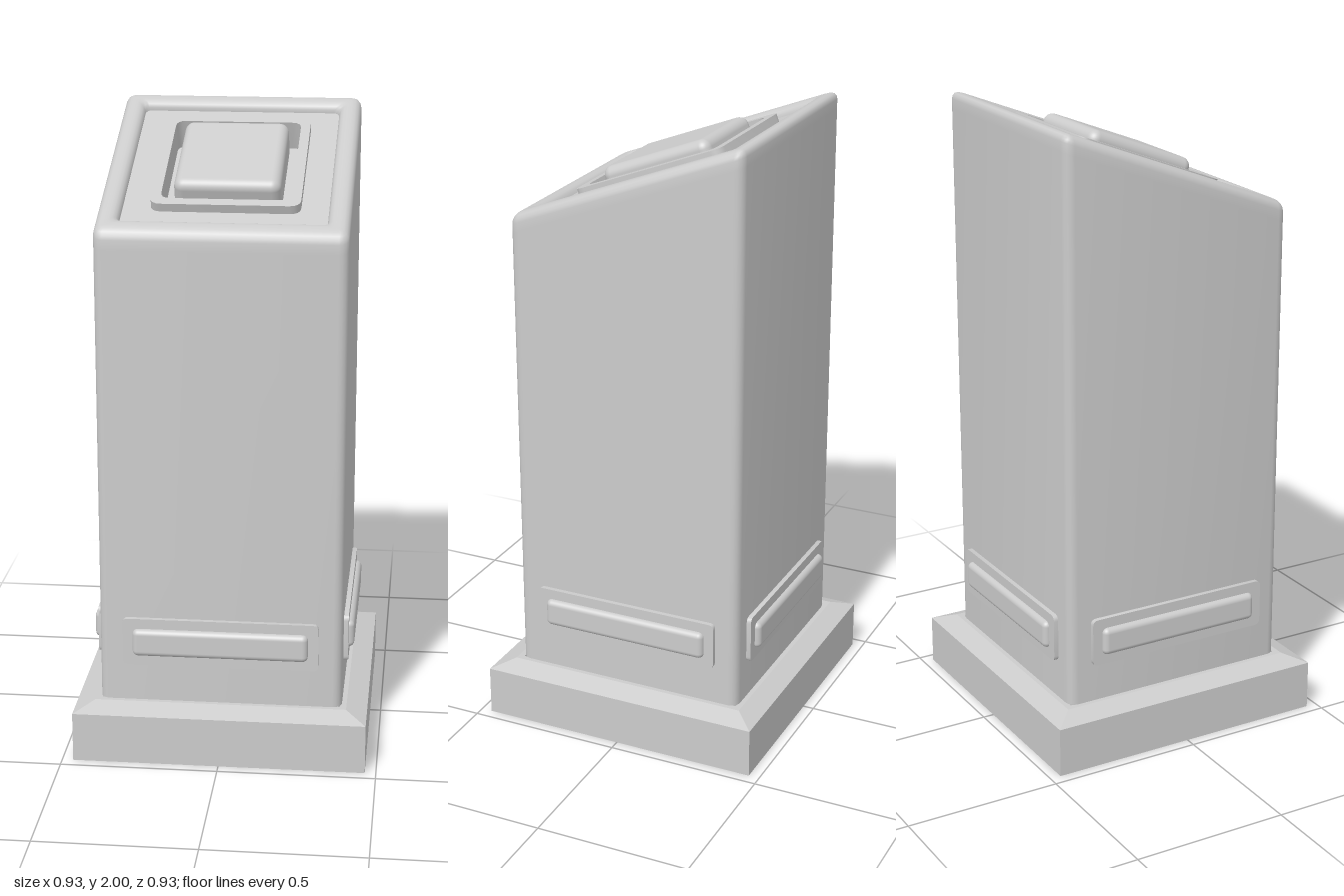
import * as THREE from 'three';
import { toCreasedNormals } from 'three/addons/utils/BufferGeometryUtils.js';
import { RoundedBoxGeometry } from 'three/addons/geometries/RoundedBoxGeometry.js';

const SLOPE = 0.39, TOP = 1.858, TILT = Math.atan(SLOPE);
const slopeY = z => TOP - SLOPE * z;
const grey = new THREE.MeshStandardMaterial({ color: 0xcccccc });
const greyDouble = new THREE.MeshStandardMaterial({ color: 0xcccccc, side: THREE.DoubleSide });

function add(parent, name, geometry, material = grey) {
  const mesh = new THREE.Mesh(geometry, material);
  mesh.name = name;
  parent.add(mesh);
  return mesh;
}

// Square outline in the x-z plane with corners of radius r (seg = 0: sharp)
function squareLoop(half, r, seg) {
  const pts = [];
  for (let c = 0; c < 4; c++) {
    const mid = Math.PI / 4 + c * Math.PI / 2;
    const cx = Math.sign(Math.cos(mid)) * (half - r);
    const cz = Math.sign(Math.sin(mid)) * (half - r);
    for (let s = 0; s <= seg; s++) {
      const a = c * Math.PI / 2 + (seg ? s / seg : 0) * Math.PI / 2;
      pts.push([cx + r * Math.cos(a), cz + r * Math.sin(a)]);
    }
  }
  return pts;
}

// Skin between successive closed loops of points
function loft(loops, crease) {
  const n = loops[0].length, index = [];
  for (let i = 0; i < loops.length - 1; i++) {
    for (let j = 0; j < n; j++) {
      const a = i * n + j, b = i * n + (j + 1) % n;
      index.push(a, a + n, b, b, a + n, b + n);
    }
  }
  const g = new THREE.BufferGeometry();
  g.setAttribute('position', new THREE.Float32BufferAttribute(loops.flat(2), 3));
  g.setIndex(index);
  return toCreasedNormals(g, crease);
}

function roundedRect(w, h, r, Type = THREE.Shape) {
  const s = new Type(), x = w / 2, y = h / 2;
  s.moveTo(-x + r, -y);
  s.lineTo(x - r, -y).quadraticCurveTo(x, -y, x, -y + r);
  s.lineTo(x, y - r).quadraticCurveTo(x, y, x - r, y);
  s.lineTo(-x + r, y).quadraticCurveTo(-x, y, -x, y - r);
  s.lineTo(-x, -y + r).quadraticCurveTo(-x, -y, -x + r, -y);
  return s;
}

function bodyGeometry() {
  const H = 0.385, R = 0.03, SEG = 4, loops = [];
  const wall = (inset, yOf) => loops.push(
    squareLoop(H - inset, Math.max(R - inset, 0.015), SEG).map(([x, z]) => [x, yOf(z), z]));
  wall(0, () => 0.185);
  wall(0, z => slopeY(z) - 0.06);
  // outer roll of the rim
  for (let i = 0; i <= 4; i++) {
    const a = i / 4 * Math.PI / 2;
    wall(0.03 * (1 - Math.cos(a)), z => slopeY(z) - 0.03 * (1 - Math.sin(a)));
  }
  // inner roll, sinking at right angles to the slope
  for (let i = 0; i <= 4; i++) {
    const a = i / 4 * Math.PI / 2, h = -0.028 * (1 - Math.cos(a));
    loops.push(squareLoop(H - 0.042 - 0.028 * Math.sin(a), 0.018, SEG).map(([x, z]) =>
      [x, slopeY(z) + h * Math.cos(TILT), z + h * Math.sin(TILT)]));
  }
  return loft(loops, 0.7);
}

export function createModel() {
  const model = new THREE.Group();
  model.name = 'pedestal';

  // Hollow plinth with a chamfered top
  const plinth = [[0.465, 0], [0.465, 0.16], [0.4, 0.185], [0.38, 0.185]]
    .map(([half, y]) => squareLoop(half, 0, 0).map(([x, z]) => [x, y, z]));
  add(model, 'plinth', loft(plinth, 0.1), greyDouble);

  // Column with slanted top and closed underside
  add(model, 'column', bodyGeometry());
  const underside = new THREE.PlaneGeometry(0.768, 0.768).rotateX(Math.PI / 2);
  add(model, 'columnUnderside', underside).position.y = 0.183;

  // Slanted control face: local y points out of the slope
  const face = new THREE.Group();
  face.name = 'controlFace';
  face.position.y = TOP;
  face.rotation.x = TILT;
  model.add(face);

  const panel = roundedRect(0.636, 0.684, 0.02);
  panel.holes.push(roundedRect(0.45, 0.51, 0.03, THREE.Path));
  add(face, 'panel', new THREE.ShapeGeometry(panel, 4).rotateX(-Math.PI / 2)).position.y = -0.028;

  const ring = roundedRect(0.46, 0.522, 0.035);
  ring.holes.push(roundedRect(0.4, 0.456, 0.03, THREE.Path));
  const ringGeo = new THREE.ExtrudeGeometry(ring, { depth: 0.1, bevelEnabled: false, curveSegments: 4 });
  add(face, 'buttonSurround', toCreasedNormals(ringGeo.rotateX(-Math.PI / 2), 0.6)).position.y = -0.1;

  const floor = new THREE.PlaneGeometry(0.42, 0.48).rotateX(-Math.PI / 2);
  add(face, 'buttonWellFloor', floor).position.y = -0.095;
  add(face, 'button', new RoundedBoxGeometry(0.33, 0.13, 0.38, 4, 0.03)).position.y = -0.034;

  // Raised plate and rounded bar low on each side
  const plateGeo = toCreasedNormals(new THREE.ExtrudeGeometry(roundedRect(0.62, 0.155, 0.018),
    { depth: 0.02, bevelEnabled: false, curveSegments: 4 }), 0.6);
  const barGeo = new RoundedBoxGeometry(0.555, 0.09, 0.06, 4, 0.018);
  for (let i = 0; i < 4; i++) {
    const vent = new THREE.Group();
    vent.name = ['frontVent', 'leftVent', 'backVent', 'rightVent'][i];
    vent.rotation.y = i * Math.PI / 2;
    add(vent, 'ventPlate', plateGeo).position.set(0, 0.389, 0.38);
    add(vent, 'ventBar', barGeo).position.set(0, 0.389, 0.387);
    model.add(vent);
  }
  return model;
}
